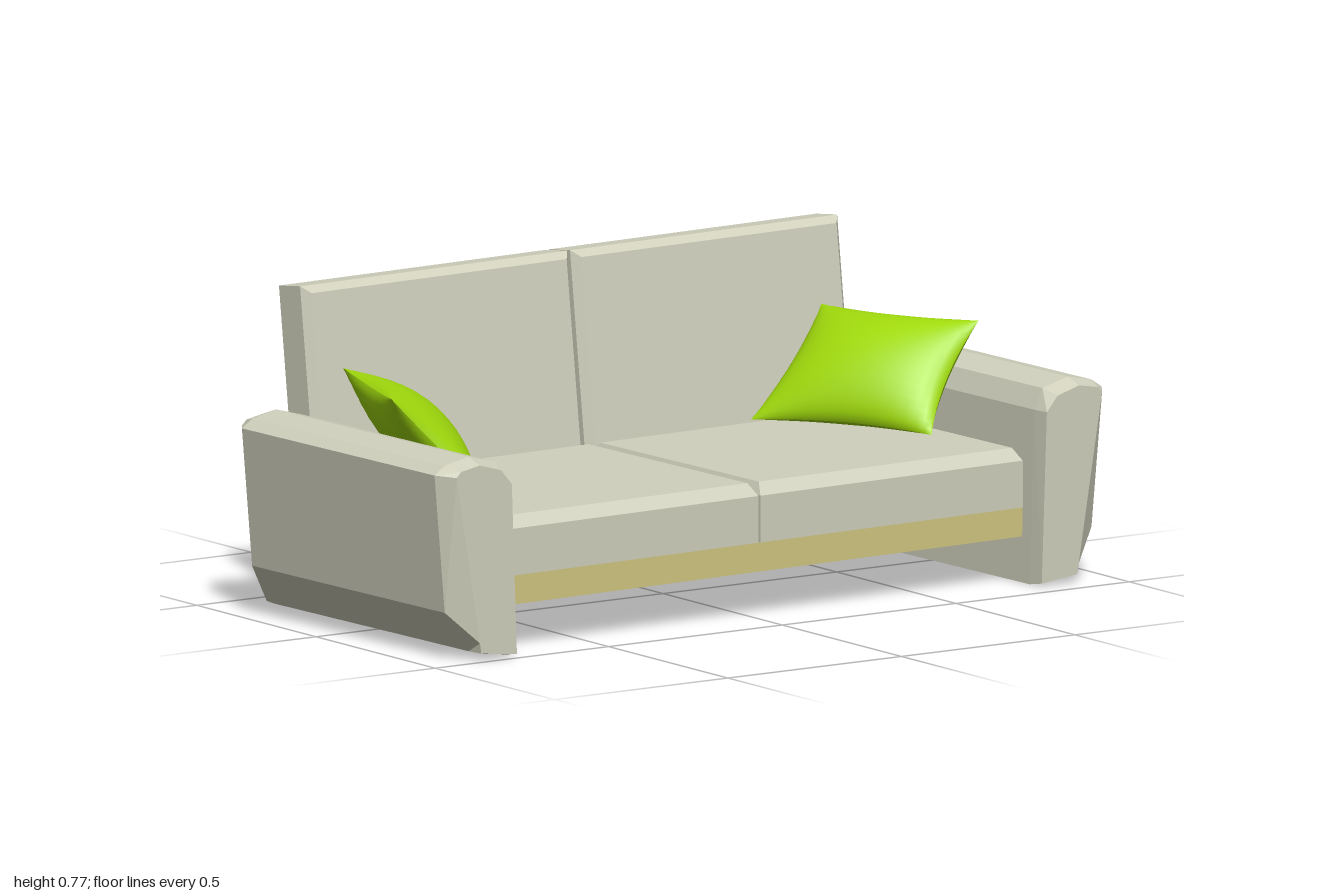
import * as THREE from 'three';

const fabric = new THREE.MeshStandardMaterial({ color: 0xd0d0bd, side: THREE.DoubleSide });
fabric.name = 'stone fabric';
const wood = new THREE.MeshStandardMaterial({ color: 0xcfc680, side: THREE.DoubleSide });
wood.name = 'pale wood';
const lime = new THREE.MeshStandardMaterial({ color: 0xa0da0c });
lime.name = 'lime fabric';

// Faceted skin over equal-length rings of [x, y, z]; rings run counterclockwise about the path
function loft(rings, capStart = true, capEnd = true) {
  const pos = [];
  const tri = (a, b, c) => pos.push(...a, ...b, ...c);
  const n = rings[0].length;
  for (let i = 0; i < rings.length - 1; i++) {
    for (let j = 0; j < n; j++) {
      const k = (j + 1) % n, a = rings[i], b = rings[i + 1];
      tri(a[j], a[k], b[k]);
      tri(a[j], b[k], b[j]);
    }
  }
  const first = rings[0], last = rings[rings.length - 1];
  for (let j = 1; j < n - 1; j++) {
    if (capStart) tri(first[0], first[j + 1], first[j]);
    if (capEnd) tri(last[0], last[j], last[j + 1]);
  }
  const g = new THREE.BufferGeometry();
  g.setAttribute('position', new THREE.Float32BufferAttribute(pos, 3));
  g.computeVertexNormals();
  return g;
}

// Flared armrest with bevelled ends
function armGeometry() {
  const body = [[0.773, 0], [0.885, 0.02], [0.955, 0.12], [0.985, 0.455], [0.955, 0.475], [0.885, 0.49], [0.81, 0.47], [0.787, 0.42]];
  const end = [[0.775, 0.008], [0.88, 0.02], [0.884, 0.045], [0.953, 0.452], [0.94, 0.465], [0.885, 0.475], [0.822, 0.457], [0.79, 0.42]];
  const at = (section, z) => section.map(([x, y]) => [x, y, z]);
  return loft([at(end, -0.393), at(body, -0.35), at(body, 0.42), at(end, 0.465)]);
}

// Seat cushion: bevelled top, hollow underneath
function seatGeometry() {
  const ring = (y, side, ends) => {
    const x0 = 0.003 + side, x1 = 0.778 - side, z0 = -0.3 + ends, z1 = 0.385 - ends;
    return [[x1, y, z1], [x1, y, z0], [x0, y, z0], [x0, y, z1]];
  };
  return loft([ring(0.18, 0, 0), ring(0.293, 0, 0), ring(0.322, 0.014, 0.025)], false, true);
}

// Back cushion, upright, with its lower back edge at the origin
function backGeometry() {
  const ring = (z, i) => {
    const x0 = 0.004 + i, x1 = 0.793 - i, y1 = 0.655 - i;
    return [[x0, 0, z], [x1, 0, z], [x1, y1, z], [x0, y1, z]];
  };
  return loft([ring(0, 0.018), ring(0.02, 0), ring(0.105, 0), ring(0.125, 0.018)]);
}

// Puffy pillow stretched between four corners, with slightly hollow edges
function pillowGeometry() {
  const corners = [[-0.442, 0.335, -0.248], [-0.66, 0.337, 0.18], [-0.868, 0.578, 0.088], [-0.707, 0.575, -0.324]]
    .map(c => new THREE.Vector3(...c));
  const [b, c, d, a] = corners;
  const normal = c.clone().sub(b).cross(a.clone().sub(b)).normalize();
  const N = 16, pos = [], index = [];
  const p = new THREE.Vector3(), q = new THREE.Vector3();
  for (const side of [1, -1]) {
    const base = pos.length / 3;
    for (let i = 0; i <= N; i++) {
      for (let j = 0; j <= N; j++) {
        const u = -Math.cos(Math.PI * i / N), v = -Math.cos(Math.PI * j / N);
        const s = 0.5 + 0.5 * u * (1 - 0.09 * (1 - v * v));
        const t = 0.5 + 0.5 * v * (1 - 0.09 * (1 - u * u));
        const puff = 0.072 * Math.pow(Math.max(0, (1 - u * u) * (1 - v * v)), 0.55);
        p.lerpVectors(b, c, s);
        q.lerpVectors(a, d, s);
        p.lerp(q, t).addScaledVector(normal, side * puff);
        pos.push(p.x, p.y, p.z);
        if (i < N && j < N) {
          const k = base + i * (N + 1) + j, m = k + N + 1;
          if (side > 0) index.push(k, m, m + 1, k, m + 1, k + 1);
          else index.push(k, m + 1, m, k, k + 1, m + 1);
        }
      }
    }
  }
  const g = new THREE.BufferGeometry();
  g.setAttribute('position', new THREE.Float32BufferAttribute(pos, 3));
  g.setIndex(index);
  g.computeVertexNormals();
  return g;
}

export function createModel() {
  const sofa = new THREE.Group();
  sofa.name = 'sofa';
  const add = (parent, name, geometry, material) => {
    const mesh = new THREE.Mesh(geometry, material);
    mesh.name = name;
    parent.add(mesh);
    return mesh;
  };

  const arm = armGeometry(), seat = seatGeometry(), back = backGeometry();
  const pillow = pillowGeometry().scale(1, 1, 1);

  // Mirrored halves
  for (const [side, s] of [['left', 1], ['right', -1]]) {
    const half = new THREE.Group();
    half.name = side + 'Half';
    half.scale.x = s;
    add(half, side + 'Armrest', arm, fabric);
    add(half, side + 'SeatCushion', seat, fabric);
    const rest = add(half, side + 'BackCushion', back, fabric);
    rest.position.set(0, 0.11, -0.4);
    rest.rotation.x = -0.125;
    // Pillow is shaped for the right side, so flip it within the half
    add(half, side + 'Pillow', pillow, lime).scale.x = -1;
    sofa.add(half);
  }

  // Front rail below the seat
  add(sofa, 'frontRail', new THREE.BoxGeometry(1.556, 0.07, 0.006), wood).position.set(0, 0.145, 0.381);

  // The sofa stands turned very slightly
  sofa.rotation.y = 0.0345;
  const model = new THREE.Group();
  model.name = 'sofaModel';
  model.add(sofa);
  return model;
}
